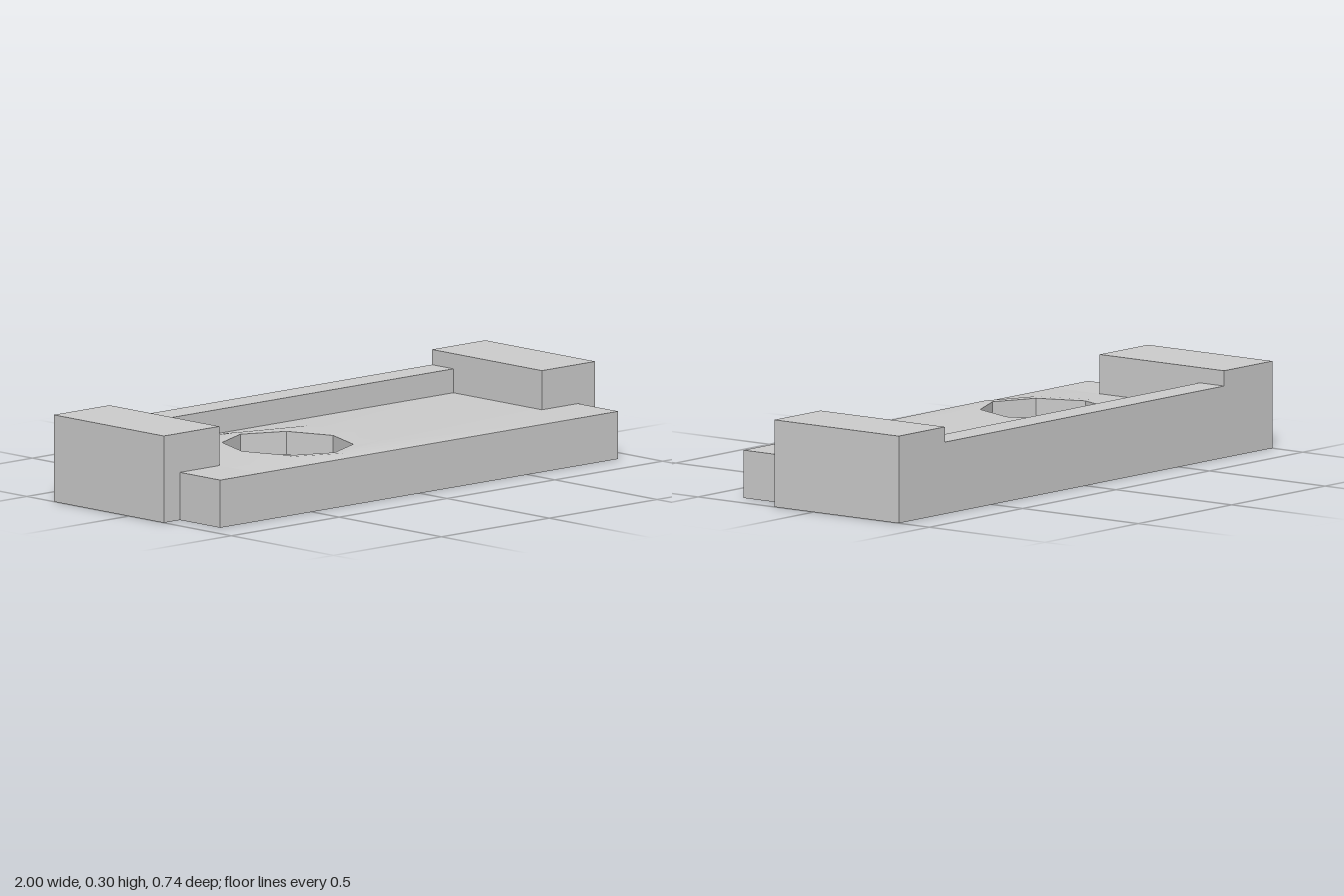
import * as THREE from 'three';

const material = new THREE.MeshStandardMaterial({ color: 0xcccccc });

// Skin a sequence of closed rings; flat gives hard facets
function loft(name, rings, flat) {
  const n = rings[0].length, index = [];
  for (let r = 0; r < rings.length - 1; r++) {
    for (let i = 0; i < n; i++) {
      const a = r * n + i, b = r * n + (i + 1) % n;
      index.push(a, b, a + n, b, b + n, a + n);
    }
  }
  let geo = new THREE.BufferGeometry();
  geo.setAttribute('position', new THREE.Float32BufferAttribute(rings.flat(2), 3));
  geo.setIndex(index);
  if (flat) geo = geo.toNonIndexed();
  geo.computeVertexNormals();
  const mesh = new THREE.Mesh(geo, material);
  mesh.name = name;
  return mesh;
}

// Box given by its limits, standing on the ground
function block(name, x0, x1, height, z0, z1) {
  const mesh = new THREE.Mesh(new THREE.BoxGeometry(x1 - x0, height, z1 - z0), material);
  mesh.position.set((x0 + x1) / 2, height / 2, (z0 + z1) / 2);
  mesh.name = name;
  return mesh;
}

export function createModel() {
  const group = new THREE.Group();
  const back = -0.368, front = 0.367, step = 0.17, railFront = -0.263;
  const left = 0.753, right = -0.742, deck = 0.163, floor = 0.095, crest = 0.175;
  const cx = -0.334, cz = 0.073;

  // Plan outlines, eight points each, running clockwise seen from above
  const octagon = Array.from({ length: 8 }, (_, i) => {
    const a = i * Math.PI / 4;
    return [cx + 0.211 * Math.sin(a), cz - 0.231 * Math.cos(a)];
  });
  const bulge = octagon.map(([x, z]) => [
    cx + (x - cx) * (x > cx + 0.01 ? 1.8 : 1.15),
    cz + (z - cz) * 1.14,
  ]);
  const panel = [
    [cx, railFront], [left, railFront], [left, cz], [left, front],
    [cx, front], [right, front], [right, cz], [right, railFront],
  ];
  const at = (outline, y) => outline.map(([x, z]) => [x, y, z]);
  const centre = y => octagon.map(() => [cx, y, cz]);

  // Gently raised deck around the pocket
  group.add(loft('deck', [at(octagon, crest - 0.001), at(bulge, crest), at(panel, deck)], false));
  // Eight-sided recess
  group.add(loft('pocket', [centre(floor), at(octagon, floor), at(octagon, crest - 0.001)], true));
  // Sides and underside of the centre slab
  group.add(loft('slab', [at(panel, deck), at(panel, 0), centre(0)], true));

  // Low front corners beside the centre slab
  group.add(block('frontCornerRight', -0.925, right, deck, step, front));
  group.add(block('frontCornerLeft', left, 0.92, deck, step, front));

  // Tall end blocks and the rail between them
  group.add(block('endBlockRight', -1, right, 0.297, back, step));
  group.add(block('endBlockLeft', left, 1, 0.297, back, step));
  group.add(block('backRail', right, left, 0.245, back, railFront));
  return group;
}
